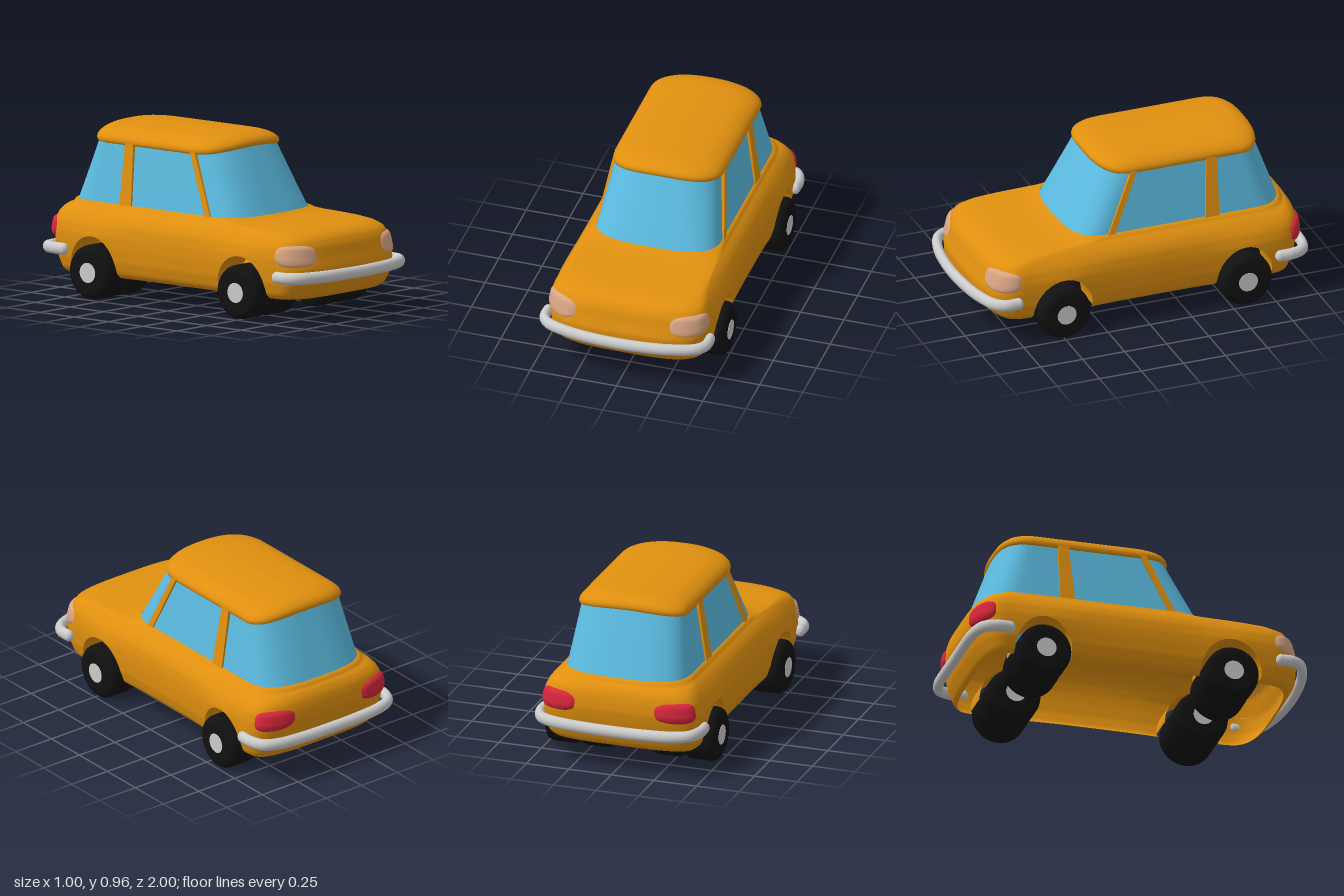
import * as THREE from 'three';

const paint = (color) => new THREE.MeshStandardMaterial({ color, side: THREE.DoubleSide });
const ORANGE = paint(0xe0900f), BLUE = paint(0x5bbbe0), BLACK = paint(0x111111);
const GREY = paint(0xcccccc), LAMP = paint(0xd9a583), RED = paint(0xd8263c);
const lerp = THREE.MathUtils.lerp, clamp = THREE.MathUtils.clamp;

// Grid surface from fn(row, col) -> [x, y, z]; closed joins the last column to the first
function loft(rows, cols, fn, closed) {
  const pos = [], idx = [];
  for (let i = 0; i < rows; i++) for (let j = 0; j < cols; j++) pos.push(...fn(i, j));
  for (let i = 0; i < rows - 1; i++) for (let j = 0; j < (closed ? cols : cols - 1); j++) {
    const k = (j + 1) % cols, a = i * cols + j, b = i * cols + k, c = a + cols, d = b + cols;
    idx.push(a, c, b, b, c, d);
  }
  const g = new THREE.BufferGeometry();
  g.setAttribute('position', new THREE.Float32BufferAttribute(pos, 3));
  g.setIndex(idx);
  g.computeVertexNormals();
  return g;
}

// Plan outline [y, halfWidth, sideFrontZ, frontZ, sideRearZ, rearZ, squareness]
// s: 0-1 rear corner, 1-2 side, 2-3 front corner, 3-6 the mirrored half
function plan([, w, f0, f1, r0, r1, n], s) {
  if (s > 3) { const [x, z] = plan([0, w, f0, f1, r0, r1, n], 6 - s); return [-x, z]; }
  if (s >= 1 && s <= 2) return [w, lerp(r0, f0, s - 1)];
  const a = (s < 1 ? 1 - s : s - 2) * Math.PI / 2, e = 2 / n;
  const x = w * Math.pow(Math.max(0, Math.cos(a)), e), t = Math.pow(Math.sin(a), e);
  return [x, s < 1 ? lerp(r0, r1, t) : lerp(f0, f1, t)];
}

const BODY = [
  [0.13, 0.405, 0.68, 0.855, -0.76, -0.88, 3.4],
  [0.15, 0.43, 0.68, 0.88, -0.76, -0.9, 3.4],
  [0.22, 0.45, 0.68, 0.92, -0.76, -0.93, 3.4],
  [0.30, 0.457, 0.68, 0.925, -0.76, -0.95, 3.4],
  [0.36, 0.457, 0.68, 0.905, -0.76, -0.96, 3.4],
  [0.42, 0.449, 0.68, 0.89, -0.76, -0.955, 3.4],
  [0.46, 0.43, 0.67, 0.865, -0.75, -0.945, 3.4],
  [0.485, 0.41, 0.6, 0.825, -0.73, -0.93, 3.3],
  [0.497, 0.397, 0.5, 0.76, -0.7, -0.92, 3.2],
  [0.503, 0.39, 0.4, 0.66, -0.68, -0.912, 3],
  [0.507, 0.385, 0.3, 0.52, -0.67, -0.905, 3],
  [0.515, 0.378, 0.23, 0.43, -0.66, -0.9, 3],
  [0.527, 0.371, 0.19, 0.4, -0.65, -0.893, 3],
  [0.53, 0.358, 0.18, 0.385, -0.65, -0.88, 3],
];
const keyAt = (y) => {
  let i = 0;
  while (i < BODY.length - 2 && y > BODY[i + 1][0]) i++;
  const t = (y - BODY[i][0]) / (BODY[i + 1][0] - BODY[i][0]);
  return BODY[i].map((v, k) => lerp(v, BODY[i + 1][k], t));
};

// Wheel arches raise the lower edge of the shell
const ARCHES = [{ z: -0.585, r: 0.163 }, { z: 0.493, r: 0.174 }];
const archY = (z) => {
  for (const a of ARCHES) {
    const d = Math.abs(z - a.z) / a.r;
    if (d <= 1.0001) return 0.16 + 0.193 * Math.sqrt(Math.max(0, 1 - d * d));
  }
  return 0;
};

// Point on the body shell, with slight flares at the wheels
function bodyPoint(s, y) {
  const key = keyAt(y), [x, z] = plan(key, s);
  let flare = 0;
  for (const a of ARCHES) flare += 0.015 * Math.exp(-(((z - a.z) / 0.2) ** 2));
  return [x + flare * clamp((0.46 - y) / 0.1, 0, 1) * x / key[1], y, z];
}

// Column positions: fine in the corners and around the arches
const half = [];
for (let i = 0; i < 24; i++) half.push(i / 24);
const sideZ = [-0.76];
for (const a of ARCHES) {
  sideZ.push(a.z - a.r - 0.002);
  for (let i = 0; i <= 32; i++) sideZ.push(a.z - a.r * Math.cos(i / 32 * Math.PI));
  sideZ.push(a.z + a.r + 0.002);
  if (a.z < 0) for (let i = 1; i < 16; i++) sideZ.push(lerp(-0.42, 0.317, i / 16));
}
sideZ.push(0.68);
sideZ.forEach((z) => half.push(1 + (z + 0.76) / 1.44));
for (let i = 1; i <= 24; i++) half.push(2 + i / 24);
const COLS = [...half, ...half.slice(1, -1).reverse().map((s) => 6 - s)];

// Lamp: a rounded, bulging patch that follows the body corner
function lamp(s0, s1, y0, y1, bulge) {
  return loft(11, 48, (i, j) => {
    const r = 1 - i / 10, a = j / 48 * Math.PI * 2;
    const sq = (v) => Math.sign(v) * Math.pow(Math.abs(v), 0.65);
    const s = lerp(s0, s1, 0.5 + 0.5 * r * sq(Math.cos(a)));
    const y = lerp(y0, y1, 0.5 + 0.5 * r * sq(Math.sin(a)));
    const [x, , z] = bodyPoint(s, y), [x1, , z1] = bodyPoint(s - 0.02, y), [x2, , z2] = bodyPoint(s + 0.02, y);
    const l = Math.hypot(x2 - x1, z2 - z1) || 1;
    const out = bulge * Math.sqrt(Math.max(0, 1 - r ** 4)) - 0.004;
    return [x + (z2 - z1) / l * out, y, z - (x2 - x1) / l * out];
  }, true);
}

export function createModel() {
  const car = new THREE.Group();
  const add = (name, geometry, material, parent = car) => {
    const m = new THREE.Mesh(geometry, material);
    m.name = name;
    parent.add(m);
    return m;
  };

  // Body shell, open underneath
  const levels = [];
  for (let y = 0.13; y < 0.45; y += 0.015) levels.push(y);
  for (const y of [0.46, 0.472, 0.485, 0.492, 0.497, 0.503, 0.507, 0.515, 0.527, 0.53]) levels.push(y);
  add('body', loft(levels.length, COLS.length, (i, j) => {
    const p = bodyPoint(COLS[j], levels[i]);
    return levels[i] < 0.36 ? bodyPoint(COLS[j], Math.max(levels[i], archY(p[2]))) : p;
  }, true), ORANGE);

  // Wrap-around glass; the top edge follows the crown of the roof
  const crown = (x) => 0.03 * (1 - (x / 0.32) ** 2);
  const base = [0.515, 0.36, 0.18, 0.39, -0.65, -0.885, 3];
  const top = [0.865, 0.304, 0.0, 0.2, -0.6, -0.748, 2.7];
  add('windows', loft(9, COLS.length, (i, j) => {
    const t = i / 8, k = base.map((v, n) => lerp(v, top[n], t));
    const [x, z] = plan(k, COLS[j]);
    return [x, k[0] + crown(x) * t, z];
  }, true), BLUE);

  // Roof: [height, inset] rings rising to the crown
  const rings = [[0.858, 0.025], [0.853, 0.008], [0.858, 0], [0.872, -0.004], [0.886, -0.001], [0.899, 0.008],
    [0.91, 0.022], [0.919, 0.042], [0.926, 0.07], [0.929, 0.1], [0.93, 0.15], [0.93, 0.23], [0.93, 0.316]];
  add('roof', loft(rings.length, COLS.length, (i, j) => {
    const [y, d] = rings[i];
    const [x, z] = plan([y, 0.316 - d, -0.01 - 0.6 * d, 0.21 - 1.3 * d, -0.6 + 0.6 * d, -0.755 + d, 2.8], COLS[j]);
    return [x, y + crown(x), z];
  }, true), ORANGE);

  for (const side of [1, -1]) {
    const label = side > 0 ? 'left' : 'right';

    // Window pillars: boxes leaned along the cabin side
    const pillar = (name, zBottom, zTop, wBottom, wTop) => {
      const g = new THREE.BoxGeometry(0.03, 1, 1, 1, 6, 1), p = g.attributes.position;
      for (let i = 0; i < p.count; i++) {
        const t = p.getY(i) + 0.5;
        p.setXYZ(i, side * lerp(0.355, 0.305, t) + p.getX(i), lerp(0.515, 0.87, t),
          lerp(zBottom, zTop, t) + p.getZ(i) * lerp(wBottom, wTop, t));
      }
      g.computeVertexNormals();
      add(label + name, g, ORANGE);
    };
    pillar('FrontPillar', 0.18, 0.022, 0.04, 0.035);
    pillar('MiddlePillar', -0.425, -0.437, 0.085, 0.06);

    // Lamps
    const s = (v) => (side > 0 ? v : 6 - v);
    add(label + 'Headlight', lamp(s(2.06), s(2.74), 0.315, 0.437, 0.016), LAMP);
    add(label + 'TailLight', lamp(s(0.81), s(0.2), 0.317, 0.438, 0.022), RED);

    for (const arch of ARCHES) {
      const end = arch.z > 0 ? 'Front' : 'Rear';
      // Arch liner turned in from the shell edge
      add(label + end + 'ArchLiner', loft(2, 33, (i, j) => {
        const z = arch.z - arch.r * Math.cos(j / 32 * Math.PI), y = archY(z);
        return [side * (i ? 0.27 : bodyPoint(1 + (z + 0.76) / 1.44, y)[0]), y, z];
      }), ORANGE);

      // Paired tyres with a hub on each outer face
      const wheel = new THREE.Group();
      wheel.name = label + end + 'Wheel';
      wheel.position.set(side * 0.306, 0.152, arch.z);
      for (const dir of [1, -1]) {
        const tyre = [[0, 0.002], [0.11, 0.002], [0.125, 0.005], [0.14, 0.014], [0.149, 0.028], [0.152, 0.045],
          [0.152, 0.15], [0.149, 0.167], [0.14, 0.181], [0.125, 0.191], [0.11, 0.194], [0, 0.194]];
        const t = add('tyre', new THREE.LatheGeometry(tyre.map((q) => new THREE.Vector2(...q)), 48), BLACK, wheel);
        t.rotation.z = -dir * Math.PI / 2;
        const h = add('hub', new THREE.CylinderGeometry(0.056, 0.056, 0.02, 32), GREY, wheel);
        h.rotation.z = Math.PI / 2;
        h.position.x = dir * 0.186;
      }
      car.add(wheel);
    }
  }

  // Bumpers: bowed tubes with rounded ends
  const bumper = (name, pts, sag) => {
    const path = [...pts.map(([x, z]) => [-x, z]), ...pts.slice(0, -1).reverse()]
      .map(([x, z]) => new THREE.Vector3(x, -sag * (1 - (x / 0.47) ** 2), z));
    const group = new THREE.Group();
    group.name = name;
    add('bar', new THREE.TubeGeometry(new THREE.CatmullRomCurve3(path), 90, 0.028, 16), GREY, group);
    for (const p of [path[0], path[path.length - 1]])
      add('barEnd', new THREE.SphereGeometry(0.028, 16, 12), GREY, group).position.copy(p);
    group.scale.y = 1.2;
    group.position.y = 0.262;
    car.add(group);
  };
  bumper('frontBumper', [[0.47, 0.77], [0.468, 0.84], [0.43, 0.892], [0.3, 0.94], [0.15, 0.963], [0, 0.97]], 0);
  bumper('rearBumper', [[0.47, -0.785], [0.468, -0.86], [0.435, -0.93], [0.35, -0.962], [0.18, -0.972], [0, -0.972]], 0.014);
  return car;
}
